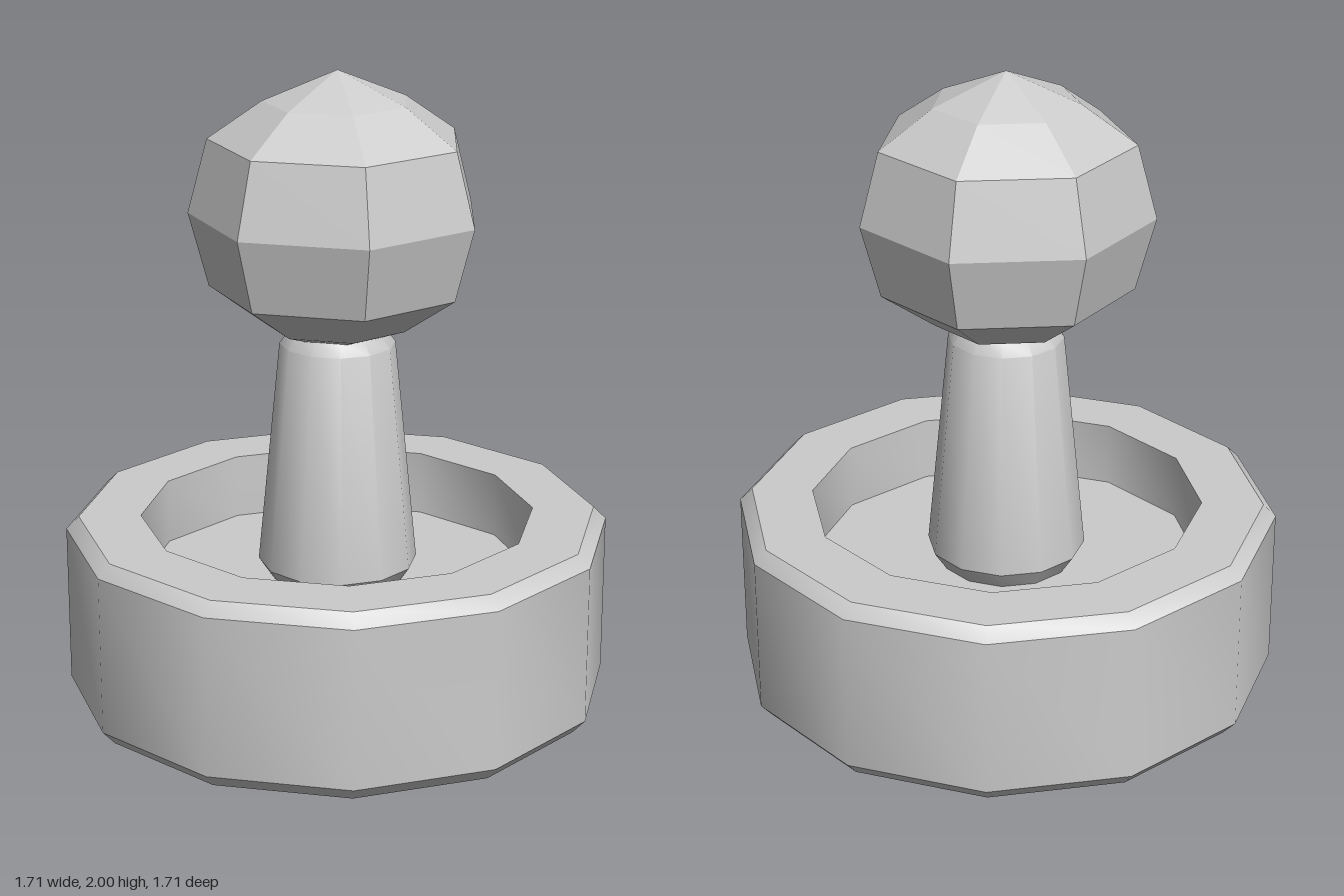
import * as THREE from 'three';
import { toCreasedNormals } from 'three/addons/utils/BufferGeometryUtils.js';

// Turned part from [radius, height] pairs, listed from bottom to top on the outside
function turned(name, profile, sides, flat) {
  const points = profile.map(([r, y]) => new THREE.Vector2(r, y));
  const geometry = new THREE.LatheGeometry(points, sides, Math.PI / 2);
  const material = new THREE.MeshStandardMaterial({ color: 0xcccccc, flatShading: flat });
  const mesh = new THREE.Mesh(flat ? geometry : toCreasedNormals(geometry, 0.6), material);
  mesh.name = name;
  return mesh;
}

export function createModel() {
  const group = new THREE.Group();
  group.name = 'ballOnPedestal';

  // Twelve-sided base with bevelled rims and a recessed well
  group.add(turned('base', [
    [0, 0], [0.815, 0], [0.855, 0.045], [0.855, 0.55], [0.815, 0.59],
    [0.62, 0.59], [0.62, 0.38], [0, 0.38],
  ], 12, false));

  // Tapered post with a bevelled foot standing in the well
  group.add(turned('post', [
    [0, 0.38], [0.21, 0.38], [0.25, 0.44], [0.18, 1.15], [0.15, 1.19], [0, 1.19],
  ], 12, false));

  // Seven-sided faceted ball, slightly flattened at its poles
  const ball = [[0, 1.13]];
  for (let i = 1; i < 6; i++) {
    const a = -Math.PI / 2 + (i * Math.PI) / 6;
    ball.push([0.457 * Math.cos(a), 1.558 + 0.4 * Math.sin(a) * (Math.abs(i - 3) === 1 ? 1.15 : 1)]);
  }
  ball.push([0, 2]);
  group.add(turned('ball', ball, 7, true));

  return group;
}
